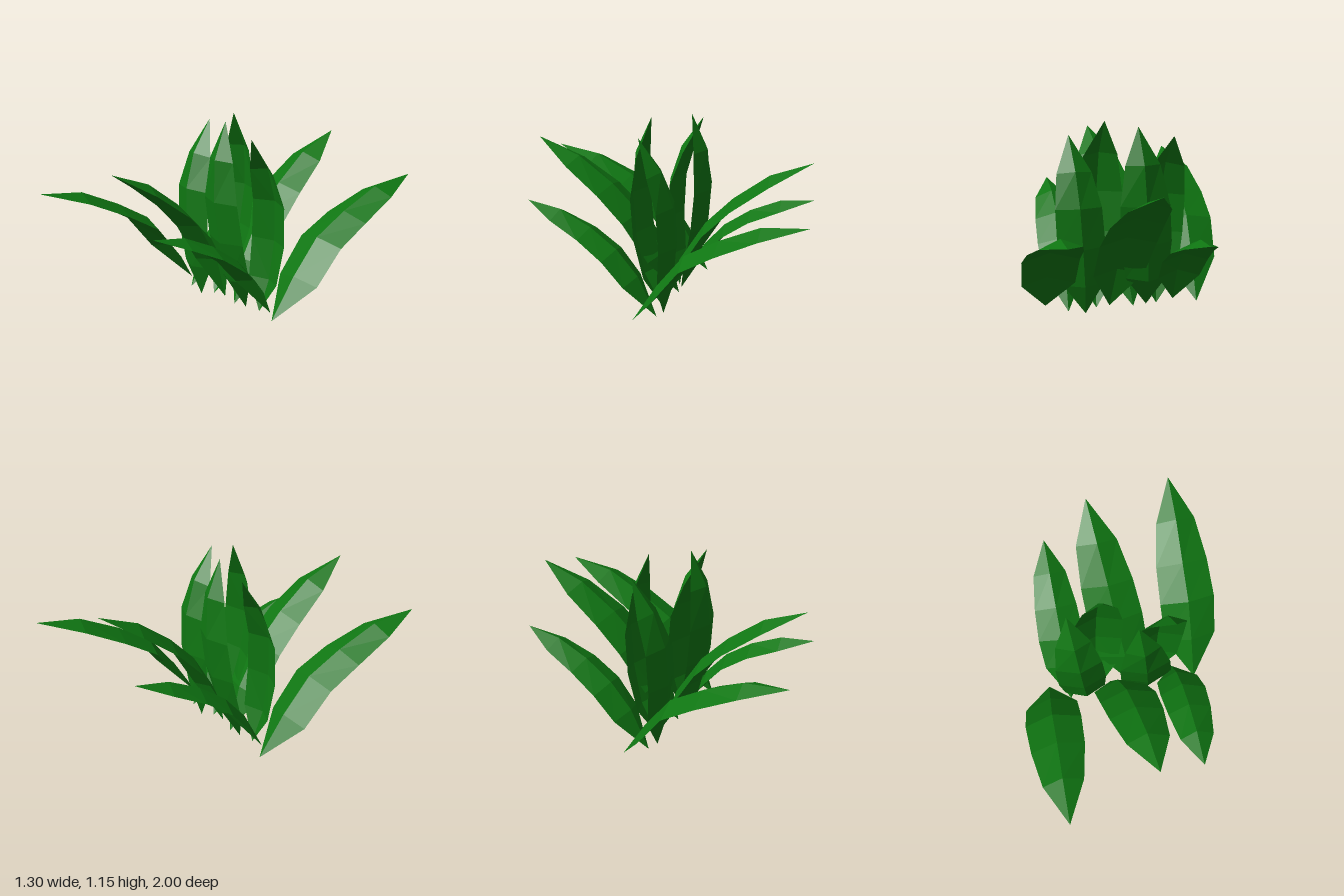
import * as THREE from 'three';

const FOLD = 0.05; // how far the midrib is raised above the leaf edges

// A folded blade. path: centre points between the two edges, from base to tip.
// widths: half widths at the inner stations. arch: +1 bends to +z, -1 bends to -z.
function bladeGeometry({ path, widths, arch }) {
  const rows = path.map(([x, y, z], i) => {
    const w = (widths[i - 1] ?? 0) * arch;
    if (!w) return [0, 1, 2].map(() => new THREE.Vector3(x, y, z));
    const a = path[i - 1], b = path[i + 1];
    const ty = b[1] - a[1], tz = b[2] - a[2];
    const k = (arch * FOLD) / Math.hypot(ty, tz);
    return [
      new THREE.Vector3(x - w, y, z),
      new THREE.Vector3(x, y + tz * k, z - ty * k),
      new THREE.Vector3(x + w, y, z),
    ];
  });
  const pos = [];
  const last = rows.length - 2;
  for (let i = 0; i <= last; i++) {
    for (let j = 0; j < 2; j++) {
      const a = rows[i][j], b = rows[i + 1][j], c = rows[i + 1][j + 1], d = rows[i][j + 1];
      const faces = i === 0 ? [a, b, c] : i === last ? [a, b, d] : [a, b, d, b, c, d];
      faces.forEach((p) => pos.push(p.x, p.y, p.z));
    }
  }
  const g = new THREE.BufferGeometry();
  g.setAttribute('position', new THREE.Float32BufferAttribute(pos, 3));
  g.computeVertexNormals();
  return g;
}

const leaves = [
  { name: 'wideOuterLeaf', arch: 1, widths: [0.16, 0.17, 0.16, 0.12],
    path: [[-0.46, 0.035, -0.06], [-0.47, 0.245, 0.135], [-0.48, 0.45, 0.3],
      [-0.485, 0.565, 0.5], [-0.495, 0.675, 0.74], [-0.505, 0.755, 1]] },
  { name: 'tallOuterLeaf', arch: 1, widths: [0.155, 0.17, 0.16, 0.125],
    path: [[-0.07, 0.02, -0.02], [-0.04, 0.26, 0.11], [-0.015, 0.5, 0.26],
      [0, 0.66, 0.42], [0.02, 0.815, 0.63], [0.035, 0.955, 0.86]] },
  { name: 'shortOuterLeaf', arch: 1, widths: [0.128, 0.14, 0.13, 0.1],
    path: [[0.335, 0.025, -0.04], [0.33, 0.225, 0.12], [0.33, 0.37, 0.25],
      [0.328, 0.48, 0.41], [0.325, 0.565, 0.6], [0.32, 0.64, 0.795]] },
  { name: 'sideUprightLeaf', arch: -1, widths: [0.125, 0.145, 0.14, 0.105],
    path: [[-0.23, 0.005, 0.04], [-0.243, 0.2, 0.055], [-0.258, 0.44, 0.08],
      [-0.272, 0.68, 0.07], [-0.285, 0.88, 0.005], [-0.3, 1.09, -0.085]] },
  { name: 'middleUprightLeaf', arch: -1, widths: [0.13, 0.155, 0.15, 0.105],
    path: [[0.155, 0.02, 0], [0.142, 0.22, 0.07], [0.125, 0.46, 0.13],
      [0.11, 0.7, 0.157], [0.097, 0.94, 0.14], [0.08, 1.16, 0.095]] },
];

export function createModel() {
  const model = new THREE.Group();
  model.name = 'leafyPlant';
  const leafGreen = new THREE.MeshStandardMaterial({ color: 0x0f7612, flatShading: true, side: THREE.DoubleSide });
  leafGreen.name = 'leafGreen';

  // Each leaf has a twin turned half way round the plant
  for (const leaf of leaves) {
    const geometry = bladeGeometry(leaf);
    for (const half of ['Front', 'Back']) {
      const mesh = new THREE.Mesh(geometry, leafGreen);
      mesh.name = leaf.name + half;
      if (half === 'Back') mesh.rotation.y = Math.PI;
      model.add(mesh);
    }
  }
  return model;
}
